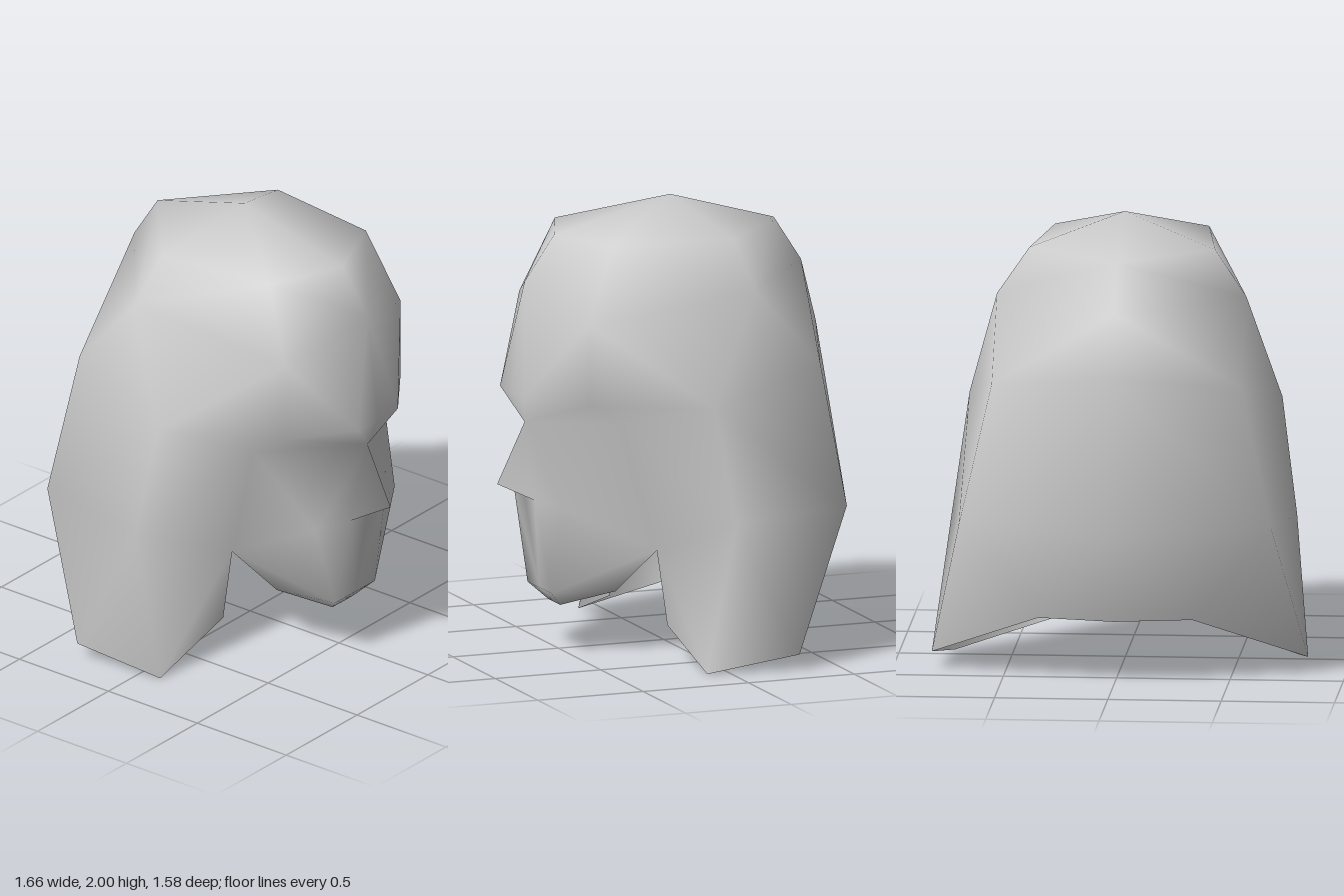
import * as THREE from 'three';
import { mergeVertices } from 'three/addons/utils/BufferGeometryUtils.js';

const V = (x, y, z) => new THREE.Vector3(x, y, z);

// True when splitting the quad a-b-d-e along a-d gives the outward bulging fold
function bulges(a, b, d, e) {
  const n = b.clone().sub(a).cross(d.clone().sub(a));
  return n.dot(e.clone().sub(a)) < 0;
}

// Skins consecutive rows of half cross-sections (centre front -> +x side -> centre back).
// Skull and hair fold outward; the face (rows from the brow, first columns) folds inward.
function skin(rows, tris) {
  for (let r = 0; r + 1 < rows.length; r++) {
    const n = Math.min(rows[r].length, rows[r + 1].length);
    for (let c = 0; c + 1 < n; c++) {
      const a = rows[r][c], b = rows[r + 1][c], d = rows[r + 1][c + 1], e = rows[r][c + 1];
      if ((r < 3 || c > 3) && bulges(a, b, d, e)) tris.push([a, b, d], [a, d, e]);
      else tris.push([a, b, e], [b, d, e]);
    }
  }
  return tris;
}

// Mirrors half triangles across x = 0, welds them and smooths the normals
function mirrored(tris) {
  const pos = [];
  const put = (p, s) => pos.push(p.x === 0 ? 0 : s * p.x, p.y, p.z);
  for (const [a, b, c] of tris) {
    if (a.distanceTo(b) < 1e-5 || b.distanceTo(c) < 1e-5 || a.distanceTo(c) < 1e-5) continue;
    [a, b, c].forEach((p) => put(p, 1));
    [a, c, b].forEach((p) => put(p, -1));
  }
  const g = new THREE.BufferGeometry();
  g.setAttribute('position', new THREE.Float32BufferAttribute(pos, 3));
  const welded = mergeVertices(g, 1e-4);
  welded.computeVertexNormals();
  return welded;
}

export function createModel() {
  const group = new THREE.Group();
  const grey = new THREE.MeshStandardMaterial({ color: 0xcccccc, side: THREE.DoubleSide });
  grey.name = 'plain grey';

  // Points used by several columns or rows
  const apex = V(0, 2, -0.03);
  const crownFront = V(0, 1.86, 0.52), crownSide = V(0.41, 1.86, -0.17), crownBack = V(0, 1.86, -0.52);
  const forehead = V(0, 1.66, 0.66), upperSide = V(0.55, 1.66, -0.21), upperBack = V(0, 1.66, -0.65);
  const brow = V(0.14, 1.17, 0.72), midBack = V(0.55, 1.31, -0.52);
  const bridge = V(0, 1.03, 0.66), hairBack = V(0.69, 0.69, -0.59);
  const wing = V(0.12, 0.7, 0.66), mouth = V(0.28, 0.69, 0.59);
  const jaw = V(0.34, 0.48, 0.17), lockTip = V(0.76, 0, 0.1);
  const chin = V(0.14, 0.28, 0.59), chinLow = V(0.07, 0.21, 0.52), jawLow = V(0.2, 0.28, 0.31);

  const rows = [
    // Crown
    Array(8).fill(apex),
    [crownFront, crownFront, crownFront, V(0.34, 1.86, 0.38), crownSide, crownSide, crownBack, crownBack],
    // Forehead
    [forehead, forehead, forehead, V(0.41, 1.53, 0.52), upperSide, upperSide, upperBack, upperBack],
    // Brow
    [V(0, 1.17, 0.72), brow, brow, V(0.41, 1.17, 0.52), V(0.69, 1.17, 0.03), midBack, midBack, V(0, 1.38, -0.72)],
    // Nose bridge, cheek and fullest part of the hair
    [bridge, bridge, bridge, V(0.45, 1.08, 0.38), V(0.76, 0.66, -0.04), hairBack, hairBack, V(0, 0.69, -0.79)],
    // Nose tip, mouth, jaw and hem of the hair
    [V(0, 0.76, 0.79), wing, mouth, jaw, lockTip, V(0.83, 0.07, -0.31), V(0.34, 0.28, -0.58), V(0, 0.28, -0.65)],
    // Underside of the nose, then chin and its underside
    [V(0, 0.7, 0.66), wing, mouth, jaw],
    [V(0, 0.28, 0.59), chin, chin, jawLow],
    [V(0, 0.21, 0.52), chinLow, chinLow, jawLow],
    [V(0, 0.28, 0.31), jawLow],
  ];
  // Inner corner of the side lock
  const lock = [jaw, V(0.34, 0.14, 0.12), lockTip];

  const head = new THREE.Mesh(mirrored(skin(rows, [lock])), grey);
  head.name = 'headAndHair';
  group.add(head);
  return group;
}
